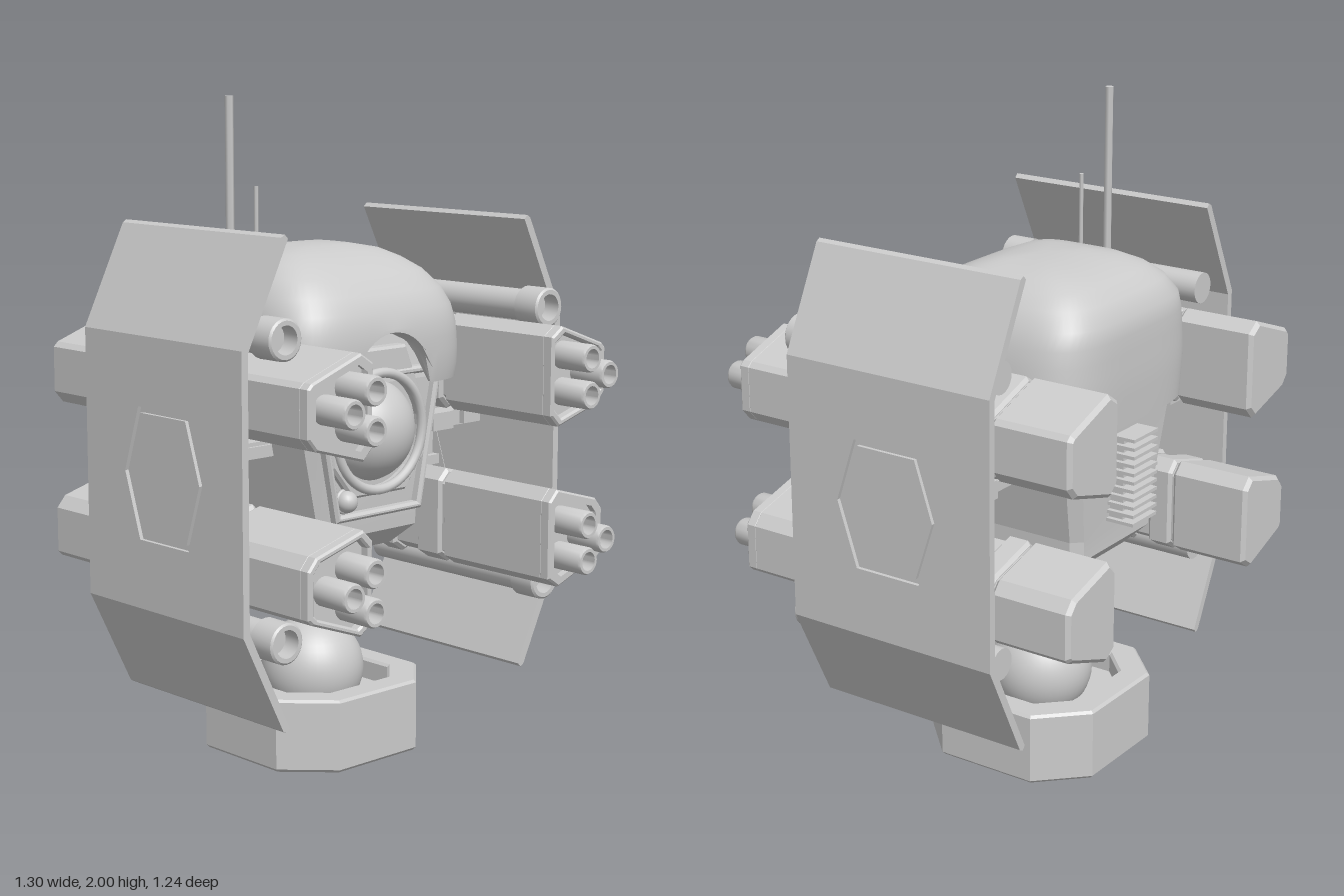
import * as THREE from 'three';
import { toCreasedNormals } from 'three/addons/utils/BufferGeometryUtils.js';

const grey = new THREE.MeshStandardMaterial({ color: 0xcccccc, side: THREE.DoubleSide });
const CZ = -0.12; // depth of the central axis
const MID = 0.935; // height the gun pods mirror about

export function createModel() {
  const root = new THREE.Group();

  const add = (name, geo, x = 0, y = 0, z = 0) => {
    const m = new THREE.Mesh(geo, grey);
    m.name = name;
    m.position.set(x, y, z);
    root.add(m);
    return m;
  };
  const box = (name, w, h, d, x, y, z) => add(name, new THREE.BoxGeometry(w, h, d), x, y, z);
  const vecs = (pts) => pts.map(([x, y]) => new THREE.Vector2(x, y));
  const scaled = (pts, s, cx, cy) => pts.map(([x, y]) => [cx + (x - cx) * s, cy + (y - cy) * s]);

  // Polygon extruded from z0 to z1, optional bevel kept inside the outline
  const slab = (pts, z0, z1, bevel = 0, holes = []) => {
    const shape = new THREE.Shape(vecs(pts));
    holes.forEach((h) => shape.holes.push(new THREE.Path(vecs(h))));
    const g = new THREE.ExtrudeGeometry(shape, {
      depth: z1 - z0 - 2 * bevel, bevelEnabled: bevel > 0, bevelSize: bevel,
      bevelThickness: bevel, bevelOffset: -bevel, bevelSegments: 1, curveSegments: 32,
    });
    return g.translate(0, 0, z0 + bevel);
  };

  // Skin through closed rings of [x, y, z], ordered from bottom to top
  const loft = (rings, crease) => {
    const n = rings[0].length, idx = [];
    for (let j = 0; j < rings.length - 1; j++) {
      for (let i = 0; i < n; i++) {
        const a = j * n + i, b = j * n + ((i + 1) % n);
        idx.push(a, a + n, b, b, a + n, b + n);
      }
    }
    const g = new THREE.BufferGeometry();
    g.setAttribute('position', new THREE.Float32BufferAttribute(rings.flat(2), 3));
    g.setIndex(idx);
    return toCreasedNormals(g, crease);
  };

  const octagon = (hw, z1, z0, c) => [
    [hw, z0 + c], [hw, z1 - c], [hw - c, z1], [c - hw, z1],
    [-hw, z1 - c], [-hw, z0 + c], [c - hw, z0], [hw - c, z0],
  ];
  const circle = (cx, cy, r, n = 32) => Array.from({ length: n }, (_, i) => {
    const a = (i / n) * Math.PI * 2;
    return [cx + r * Math.cos(a), cy + r * Math.sin(a)];
  });

  // ---- Base with sunken socket and ball joint ----
  const foot = octagon(0.295, 0.298, -0.298, 0.135);
  const laid = (g) => g.rotateX(-Math.PI / 2);
  add('base', laid(slab(foot, 0, 0.16, 0.01)), 0, 0, CZ);
  add('baseRim', laid(slab(foot, 0.14, 0.225, 0.008, [octagon(0.21, 0.21, -0.21, 0.09)])), 0, 0, CZ);
  add('ballJoint', new THREE.SphereGeometry(0.16, 40, 24), 0, 0.24, CZ);
  box('neckRod', 0.055, 0.2, 0.055, 0, 0.45, CZ);
  box('neckSleeve', 0.08, 0.18, 0.08, 0, 0.59, CZ);

  // ---- Tapered body ----
  const bodyLevels = [
    [0.65, 0, CZ, CZ, 0], [0.65, 0.15, 0.09, -0.33, 0.02], [0.71, 0.208, 0.15, -0.39, 0.03],
    [0.77, 0.208, 0.155, -0.39, 0.03], [1.16, 0.285, 0.16, -0.42, 0.04],
    [1.32, 0.28, 0.13, -0.41, 0.04], [1.32, 0, CZ, CZ, 0],
  ];
  add('body', loft(bodyLevels.map(([y, w, z1, z0, c]) =>
    octagon(w, z1, z0, c).map(([x, z]) => [x, y, z])), 0.1));

  // Front frame, eye housing and eye
  const face = [[-0.26, 1.2], [-0.175, 0.765], [0.175, 0.765], [0.26, 1.2]];
  add('faceFrame', slab(face, 0.13, 0.185, 0.008, [scaled(face, 0.9, 0, 0.98)]));
  const hood = [[-0.11, 1.27], [-0.2, 1.06], [-0.19, 0.93], [-0.11, 0.83],
    [0.11, 0.83], [0.19, 0.93], [0.2, 1.06], [0.11, 1.27]];
  add('eyeHousing', slab(hood, 0.1, 0.18, 0.008, [circle(0, 1.02, 0.165)]));
  add('eyeRing', new THREE.TorusGeometry(0.175, 0.015, 12, 48), 0, 1.02, 0.18);
  add('eye', new THREE.SphereGeometry(0.16, 48, 32), 0, 1.02, 0.1);
  add('sensorKnob', new THREE.SphereGeometry(0.033, 20, 14), -0.13, 0.825, 0.175);
  add('sensorCollar', new THREE.TorusGeometry(0.032, 0.007, 8, 24), -0.13, 0.825, 0.165);

  // Rear cooling grille
  box('grilleCore', 0.1, 0.27, 0.06, 0, 0.93, -0.41);
  for (let i = 0; i < 11; i++) box('grilleFin', 0.13, 0.01, 0.1, 0, 0.805 + i * 0.026, -0.435);

  // ---- Helmet: rounded-square rings, brow arch cut in the front ----
  const helmetLevels = [ // y, half width, front z, back z
    [1.3, 0, CZ, CZ], [1.3, 0.3, 0.15, -0.39], [1.155, 0.345, 0.21, -0.435],
    [1.155, 0.365, 0.23, -0.452], [1.2, 0.368, 0.238, -0.458], [1.25, 0.367, 0.24, -0.46],
    [1.29, 0.363, 0.24, -0.46], [1.33, 0.358, 0.238, -0.46], [1.38, 0.348, 0.225, -0.46],
    [1.43, 0.33, 0.195, -0.455], [1.48, 0.295, 0.14, -0.42], [1.515, 0.25, 0.08, -0.375],
    [1.54, 0.2, 0.02, -0.31], [1.555, 0.12, -0.04, -0.22], [1.56, 0, CZ, CZ],
  ];
  const N = 120;
  const helmetRings = helmetLevels.map(([y, w, z1, z0]) => Array.from({ length: N }, (_, i) => {
    const a = (i / N) * Math.PI * 2, c = Math.cos(a), s = Math.sin(a);
    const r = (Math.abs(c) ** 4.5 + Math.abs(s) ** 4.5) ** (-1 / 4.5);
    const x = w * r * c, z = (z0 + z1) / 2 + ((z1 - z0) / 2) * r * s;
    let h = y;
    if (s > 0 && Math.abs(x) < 0.16 && w > 0) {
      h = Math.max(y, 1.155 + 0.165 * Math.sqrt(1 - (x / 0.16) ** 2));
    }
    if (s < 0 && y < 1.2) h -= 0.05 * Math.min(1, -s * 1.3); // lower nape
    return [x, h, z];
  }));
  add('helmet', loft(helmetRings, 0.75));

  // ---- Antennae ----
  add('longAntenna', new THREE.CylinderGeometry(0.013, 0.013, 0.55, 6), -0.285, 1.725, -0.16);
  add('shortAntenna', new THREE.CylinderGeometry(0.007, 0.007, 0.25, 6), -0.24, 1.615, -0.095);

  // ---- Side assemblies, mirrored left and right ----
  const podOutline = [[0.605, 1.25], [0.59, 1.265], [0.41, 1.33], [0.365, 1.3],
    [0.365, 1.065], [0.4, 1.03], [0.575, 1.08], [0.605, 1.115]];
  const tubeProfile = (r, len) => vecs([[0, len * 0.4], [r * 0.68, len * 0.4], [r * 0.68, len], [r * 0.9, len],
    [r, len * 0.94], [r, 0], [0, 0]]);
  const tube = (r, len) => toCreasedNormals(
    new THREE.LatheGeometry(tubeProfile(r, len), 24).rotateX(Math.PI / 2), 0.6);

  for (const sx of [1, -1]) {
    // Arm and the vertical strut that joins the pods
    box('arm', 0.4, 0.05, 0.2, sx * 0.435, 0.975, CZ);
    box('armInnerRail', 0.13, 0.026, 0.22, sx * 0.325, 0.975, CZ);
    box('armOuterBlock', 0.075, 0.04, 0.24, sx * 0.585, 0.975, CZ);
    box('strutNode', 0.09, 0.056, 0.25, sx * 0.45, 0.975, CZ);
    box('strut', 0.036, 0.24, 0.12, sx * 0.45, MID, CZ);
    for (const y of [0.845, 1.025]) box('strutCap', 0.055, 0.03, 0.16, sx * 0.45, y, CZ);

    // Shield: flat middle with a grooved hatch, two leaning flaps
    const hatch = [[0.21, 0.935], [0.145, 1.13], [-0.075, 1.13], [-0.14, 0.935], [-0.075, 0.74], [0.145, 0.74]];
    const wall = [[-0.31, 0.545], [0.39, 0.545], [0.39, 1.33], [-0.31, 1.33]];
    const plate = (name, pts, x0, x1, holes) => {
      const g = slab(pts, 0, x1 - x0, 0, holes).rotateY(Math.PI / 2);
      add(name, g, sx > 0 ? x0 : -x1);
    };
    plate('shield', wall, 0.625, 0.648, [hatch]);
    plate('hatchGroove', hatch, 0.627, 0.636);
    plate('hatch', scaled(hatch, 0.91, 0.035, MID), 0.634, 0.647);
    for (const sy of [1, -1]) {
      const flip = ([x, y]) => [sx * x, MID + sy * (y - MID)];
      const flap = [[0.625, 1.325], [0.648, 1.325], [0.648, 1.335], [0.503, 1.632], [0.49, 1.64], [0.478, 1.628]];
      add('shieldFlap', slab(flap.map(flip), -0.39, 0.31));

      // Gun pod: rear housing, ribbed waist, front housing with sunken face
      const pod = podOutline.map(flip);
      const [cx, cy] = flip([0.47, 1.18]);
      add('podRear', slab(pod, -0.62, -0.36, 0.012));
      add('podWaist', slab(scaled(pod, 0.9, cx, cy), -0.4, 0.15));
      add('podFront', slab(pod, 0.09, 0.5, 0.006));
      add('podFaceRim', slab(pod, 0.49, 0.53, 0.006, [scaled(pod, 0.84, cx, cy)]));
      [[-0.355, -0.275], [-0.21, -0.125], [-0.03, 0.075]].forEach(([z0, z1]) =>
        add('podRib', slab(scaled(pod, 1.0, cx, cy), z0, z1, 0.01)));

      // Three barrels per pod
      [[0.44, 1.24], [0.52, 1.185], [0.44, 1.13]].forEach((p) => {
        const [x, y] = flip(p);
        add('barrel', tube(0.042, 0.13), x, y, 0.49);
      });

      // Launch tube tucked into the corner of the shield
      const [tx, ty] = flip([0.535, 1.36]);
      add('launchTube', new THREE.CylinderGeometry(0.048, 0.048, 0.66, 24).rotateX(Math.PI / 2), tx, ty, -0.02);
      add('launchTubeMuzzle', tube(0.06, 0.09), tx, ty, 0.275);
    }
  }
  return root;
}
